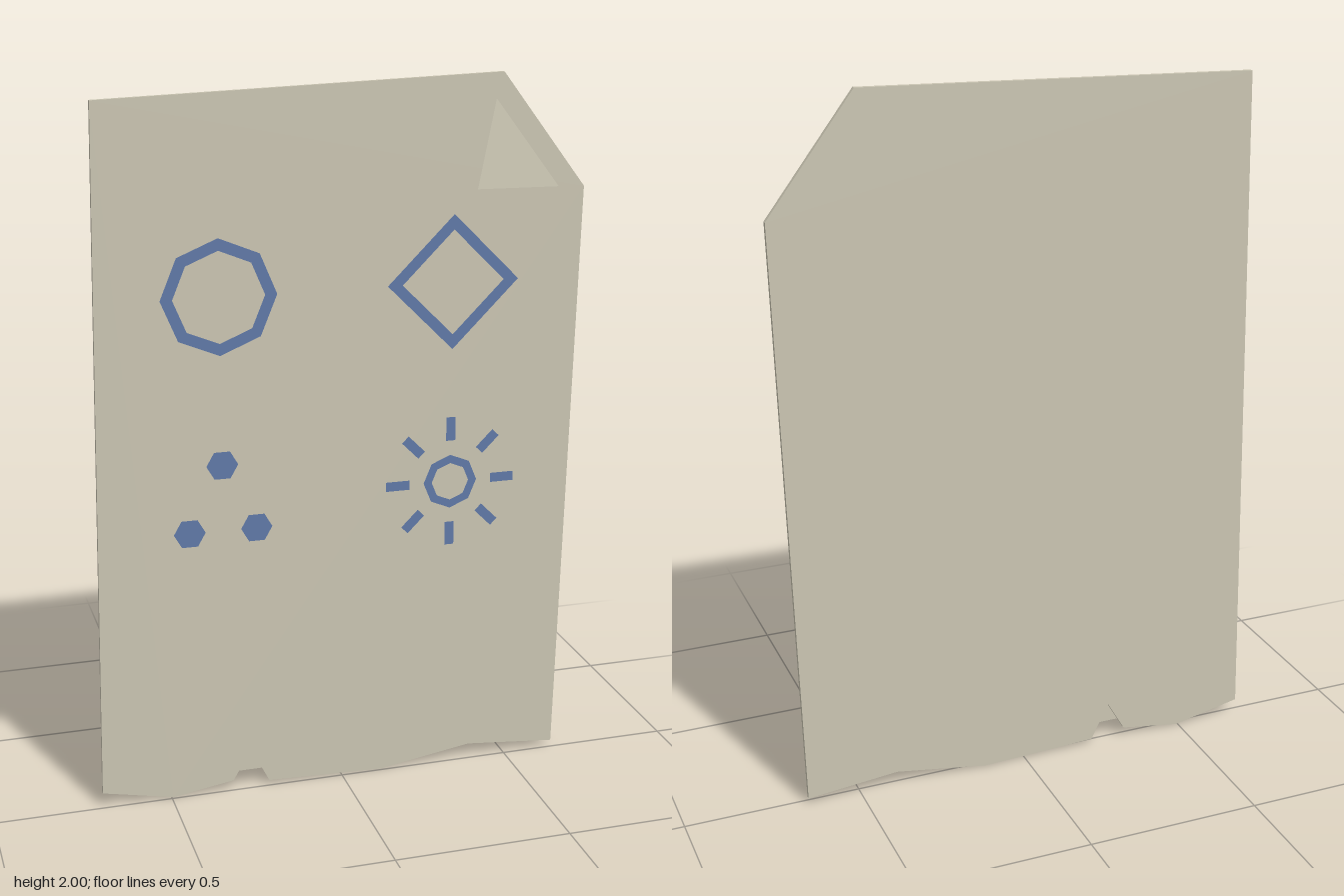
import * as THREE from 'three';

const BACK = -0.02, FRONT = -0.007;

export function createModel() {
  const model = new THREE.Group();
  model.name = 'tornNote';
  const paper = new THREE.MeshStandardMaterial({ color: 0xcbc6b3, side: THREE.DoubleSide, flatShading: true });
  paper.name = 'paper';
  const ink = new THREE.MeshStandardMaterial({ color: 0x6079a8 });
  ink.name = 'blue ink';

  const add = (parent, name, geometry, material, x = 0, y = 0, z = 0) => {
    const mesh = new THREE.Mesh(geometry, material);
    mesh.name = name;
    mesh.position.set(x, y, z);
    parent.add(mesh);
    return mesh;
  };
  const shapeOf = (points) => new THREE.Shape(points.map(([x, y]) => new THREE.Vector2(x, y)));

  // Sheet with a cut corner, torn lower edge and a notch
  const outline = shapeOf([
    [-0.655, 1.963], [-0.695, 0.045], [-0.495, 0.003], [-0.32, 0.03], [-0.268, 0.12], [-0.215, 0.015],
    [0.12, 0.003], [0.39, 0.045], [0.652, 0.02], [0.69, 1.685], [0.45, 2.0],
  ]);
  add(model, 'sheet', new THREE.ExtrudeGeometry(outline, { depth: FRONT - BACK, bevelEnabled: false }), paper, 0, 0, BACK);

  // Thin layer of paper left across the upper part of the notch
  const scrap = shapeOf([[-0.304, 0.058], [-0.236, 0.058], [-0.268, 0.12]]);
  add(model, 'notchScrap', new THREE.ShapeGeometry(scrap), paper, 0, 0, FRONT);

  // Corner folded forward, its crease inside the sheet
  const fold = new THREE.BufferGeometry();
  fold.setAttribute('position', new THREE.Float32BufferAttribute([
    0.447, 2.0, -0.015, 0.372, 1.695, 0.02, 0.688, 1.685, -0.015,
  ], 3));
  fold.computeVertexNormals();
  add(model, 'foldedCorner', fold, paper);

  // Drawn symbols, just proud of the front face
  const marks = new THREE.Group();
  marks.name = 'drawnSymbols';
  marks.position.z = FRONT + 0.002;
  model.add(marks);
  add(marks, 'octagonRing', new THREE.RingGeometry(0.125, 0.158, 8), ink, -0.335, 1.44);
  add(marks, 'diamond', new THREE.RingGeometry(0.145, 0.187, 4), ink, 0.317, 1.44);

  // Three dots in a triangle
  for (const [x, y] of [[-0.335, 0.977], [-0.429, 0.79], [-0.242, 0.79]]) {
    add(marks, 'dot', new THREE.CircleGeometry(0.044, 6), ink, x, y);
  }

  // Sun: a small ring and eight rays
  const sun = new THREE.Group();
  sun.name = 'sun';
  sun.position.set(0.317, 0.87, 0);
  marks.add(sun);
  add(sun, 'sunRing', new THREE.RingGeometry(0.054, 0.078, 8), ink);
  for (let i = 0; i < 8; i++) {
    const a = i * Math.PI / 4;
    const ray = add(sun, 'sunRay', new THREE.PlaneGeometry(0.068, 0.027), ink, Math.cos(a) * 0.154, Math.sin(a) * 0.154);
    ray.rotation.z = a;
  }
  return model;
}
